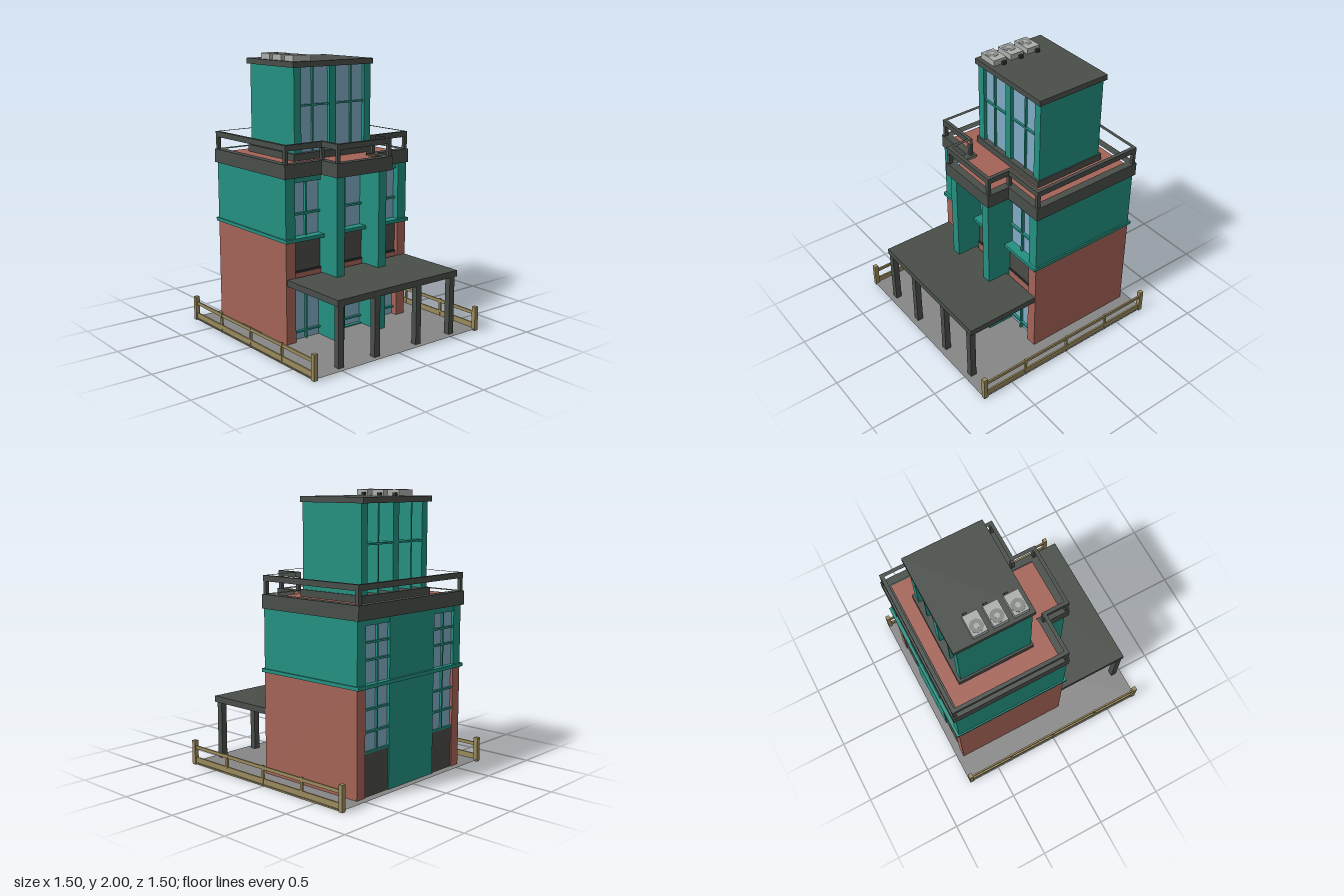
import * as THREE from 'three';

const mat = (name, color, side = THREE.FrontSide) => {
  const m = new THREE.MeshStandardMaterial({ color, side });
  m.name = name;
  return m;
};

export function createModel() {
  const teal = mat('teal', 0x239080), brick = mat('brick', 0xa46357);
  const dark = mat('charcoal', 0x494e49), panel = mat('panel grey', 0x4a4a47);
  const glass = mat('glass blue', 0x7fabc3), wood = mat('wood', 0x998a5c);
  const paving = mat('paving grey', 0x868686, THREE.DoubleSide);
  const metal = mat('light metal', 0xabaeab), fanGrey = mat('fan grey', 0x858885);
  const black = mat('black', 0x2b2d2b);

  const model = new THREE.Group();
  const add = (name, geometry, material) => {
    const mesh = new THREE.Mesh(geometry, material);
    mesh.name = name;
    model.add(mesh);
    return mesh;
  };
  // Box given by its limits on each axis
  const box = (name, material, x0, x1, y0, y1, z0, z1) => {
    const g = new THREE.BoxGeometry(x1 - x0, y1 - y0, z1 - z0);
    g.translate((x0 + x1) / 2, (y0 + y1) / 2, (z0 + z1) / 2);
    return add(name, g, material);
  };
  // Terrace outline with front bay, inset by d, as [x, z] corners
  const outline = (d) => {
    const l = -0.55 + d, r = 0.57 - d, b = -0.72 + d, m = 0.17 - d, f = 0.345 - d;
    const bl = -0.24 + d, br = 0.26 - d;
    return [[l, b], [r, b], [r, m], [br, m], [br, f], [bl, f], [bl, m], [l, m]];
  };
  const points = (d) => outline(d).map(([x, z]) => new THREE.Vector2(x, -z));
  const terrace = (name, material, y0, y1, inset, holeInset) => {
    const shape = new THREE.Shape(points(inset));
    if (holeInset) shape.holes.push(new THREE.Path(points(holeInset)));
    const g = new THREE.ExtrudeGeometry(shape, { depth: y1 - y0, bevelEnabled: false });
    g.rotateX(-Math.PI / 2).translate(0, y0, 0);
    add(name, g, material);
  };

  // Ground
  add('ground', new THREE.PlaneGeometry(1.5, 1.5).rotateX(-Math.PI / 2).translate(0, 0.015, 0), paving);

  // Side fences
  for (const s of [-1, 1]) {
    const x = s * 0.735;
    for (const z of [-0.733, 0.733]) box('fencePost', wood, x - 0.016, x + 0.016, 0, 0.18, z - 0.016, z + 0.016);
    for (const z of [-0.375, 0, 0.375]) box('fencePicket', wood, x - 0.008, x + 0.008, 0, 0.148, z - 0.008, z + 0.008);
    box('fenceTopRail', wood, x - 0.006, x + 0.006, 0.118, 0.142, -0.72, 0.72);
    box('fenceBottomRail', wood, x - 0.006, x + 0.006, 0, 0.055, -0.72, 0.72);
  }

  // Side walls: brick below, teal above
  for (const [x0, x1] of [[-0.54, -0.46], [0.48, 0.56]]) {
    box('lowerSideWall', brick, x0, x1, 0.015, 0.75, -0.7, 0.16);
    box('upperSideWall', teal, x0, x1, 0.75, 1.19, -0.7, 0.16);
  }
  box('storeyBand', teal, -0.55, 0.57, 0.745, 0.77, -0.72, 0.18);
  box('backPanel', teal, -0.235, 0.24, 0.005, 1.19, -0.7, -0.65);

  // Front wall infill
  box('groundFloorGlass', glass, -0.46, 0.48, 0.015, 0.45, 0.09, 0.11);
  box('brickStrip', brick, -0.46, 0.48, 0.45, 0.51, 0.09, 0.14);
  box('panelSill', black, -0.46, 0.48, 0.51, 0.525, 0.09, 0.14);
  box('frontPanel', panel, -0.46, 0.48, 0.525, 0.745, 0.09, 0.13);
  box('upperGlass', glass, -0.46, 0.48, 0.77, 1.16, 0.09, 0.11);
  box('windowHeader', teal, -0.46, 0.48, 1.15, 1.19, 0.05, 0.14);
  box('upperTransom', teal, -0.46, 0.48, 0.92, 0.935, 0.1, 0.13);
  box('lowerTransom', teal, -0.46, 0.48, 0.068, 0.08, 0.1, 0.13);
  box('threshold', teal, -0.225, 0.225, 0.002, 0.022, 0.09, 0.14);
  box('doorMullion', teal, -0.006, 0.006, 0.005, 0.45, 0.1, 0.13);
  box('centreMullion', teal, -0.006, 0.006, 0.77, 1.16, 0.1, 0.13);

  // Mullions shared by the front and back windows
  for (const x of [-0.345, 0.355]) {
    box('lowerMullion', teal, x - 0.006, x + 0.006, 0.005, 0.45, -0.69, 0.13);
    box('upperMullion', teal, x - 0.006, x + 0.006, 0.77, 1.16, -0.695, 0.13);
    box('backLowerMullion', teal, x - 0.006, x + 0.006, 0.31, 0.745, -0.695, -0.66);
  }

  // Back windows over dark panels
  for (const [x0, x1] of [[-0.46, -0.235], [0.24, 0.48]]) {
    box('backDoorPanel', panel, x0, x1, 0.015, 0.31, -0.692, -0.65);
    box('backLowerGlass', glass, x0, x1, 0.31, 0.745, -0.68, -0.65);
    box('backUpperGlass', glass, x0, x1, 0.77, 1.16, -0.68, -0.65);
    box('backHeader', teal, x0, x1, 1.15, 1.19, -0.695, -0.65);
    for (const y of [0.315, 0.45, 0.6, 0.925, 1.04])
      box('backTransom', teal, x0, x1, y - 0.007, y + 0.007, -0.695, -0.66);
  }

  // Tall fins carrying the front bay
  for (const x of [-0.19, 0.19]) box('bayFin', teal, x - 0.035, x + 0.035, 0.003, 1.19, 0.035, 0.32);

  // Porch
  box('porchRoof', dark, -0.53, 0.555, 0.44, 0.485, 0.16, 0.715);
  for (const x of [-0.498, -0.188, 0.19, 0.513])
    box('porchColumn', dark, x - 0.023, x + 0.023, 0.015, 0.44, 0.665, 0.71);

  // Terrace with parapet and railing
  terrace('terraceSlab', dark, 1.19, 1.26, 0.05);
  terrace('terraceFloor', brick, 1.26, 1.27, 0.05);
  terrace('parapet', dark, 1.19, 1.29, 0, 0.055);
  terrace('railing', dark, 1.38, 1.42, 0.007, 0.034);
  for (const [x, z] of outline(0.021))
    box('railingPost', dark, x - 0.013, x + 0.013, 1.29, 1.38, z - 0.013, z + 0.013);

  // Roof tower, open at the back with deep fins
  box('towerBase', dark, -0.35, 0.365, 1.27, 1.32, -0.57, 0);
  for (const [x0, x1] of [[-0.335, -0.275], [0.295, 0.355]])
    box('towerSideWall', teal, x0, x1, 1.32, 1.915, -0.55, -0.015);
  box('towerCentreFin', teal, -0.025, 0.035, 1.32, 1.915, -0.55, -0.015);
  for (const x of [-0.165, 0.18]) box('towerFin', teal, x - 0.006, x + 0.006, 1.32, 1.915, -0.545, -0.025);
  box('towerShelf', teal, -0.275, 0.295, 1.643, 1.656, -0.545, -0.025);
  box('towerGlass', glass, -0.275, 0.295, 1.32, 1.915, -0.05, -0.04);
  box('towerRoof', dark, -0.35, 0.365, 1.915, 1.955, -0.575, 0);

  // Rooftop cooling units
  for (const z of [-0.372, -0.23, -0.085]) {
    box('coolingUnit', metal, -0.325, -0.175, 1.955, 1.997, z - 0.052, z + 0.052);
    add('fan', new THREE.CylinderGeometry(0.046, 0.046, 0.004, 24).translate(-0.27, 1.997, z), fanGrey);
    add('fanHub', new THREE.CylinderGeometry(0.018, 0.018, 0.005, 16).translate(-0.27, 1.9975, z), metal);
    box('pipeBox', black, -0.175, -0.153, 1.955, 1.977, z - 0.038, z - 0.012);
  }
  return model;
}
